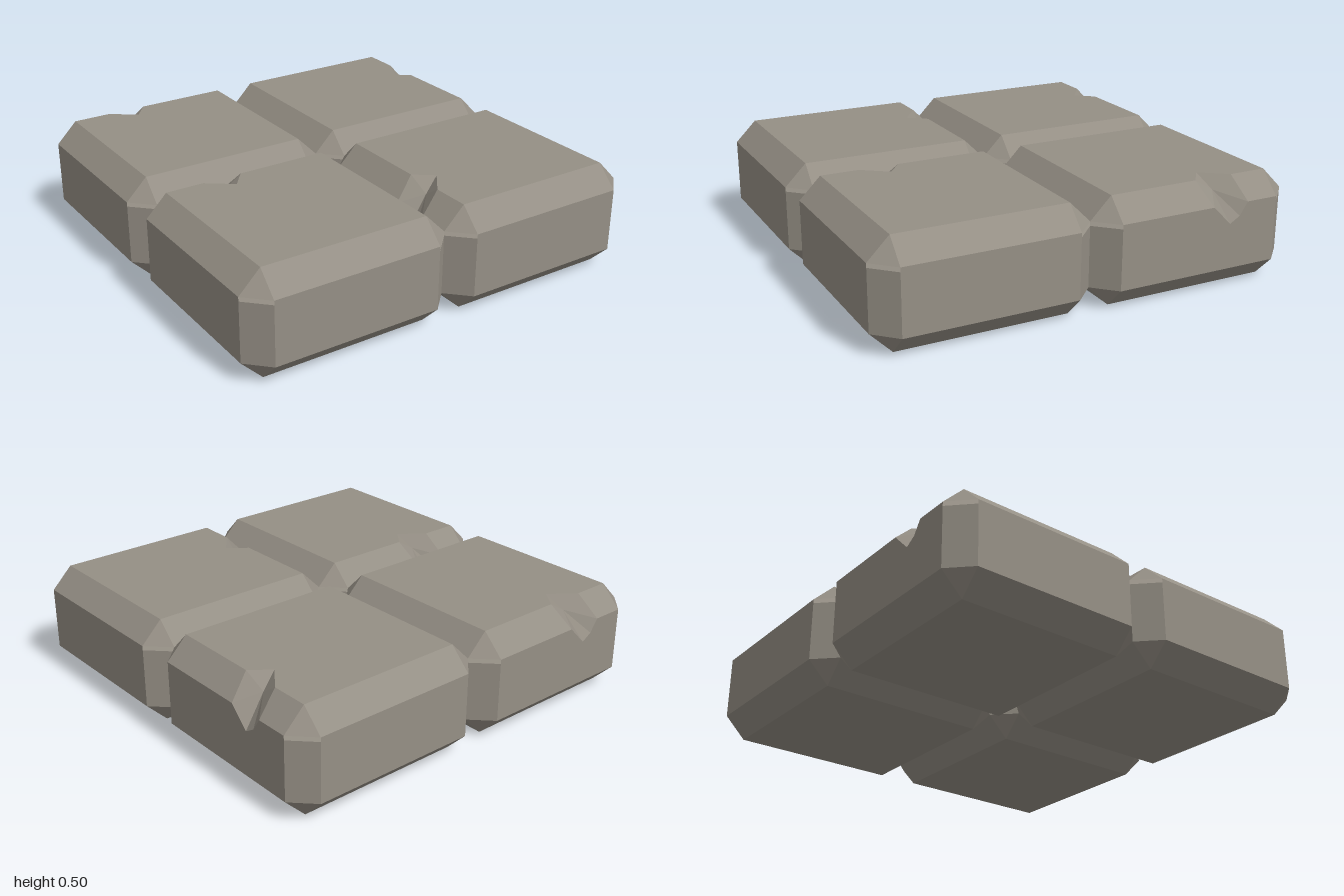
import * as THREE from 'three';

const stone = new THREE.MeshStandardMaterial({ color: 0x958f85 });
stone.name = 'grey stone';

const V = (x, y, z) => new THREE.Vector3(x, y, z);
const H = 0.5, C = 0.4; // half width of a slab, and half width inside the bevel

// Flat polygon turned to face along a direction; an optional normal softens its shading
function addFace(out, pts, facing, normal) {
  const n = V(0, 0, 0);
  pts.forEach((p, i) => n.add(p.clone().cross(pts[(i + 1) % pts.length])));
  const a = [Math.abs(n.x), Math.abs(n.y), Math.abs(n.z)];
  const k = a.indexOf(Math.max(...a));
  const [u, v] = [['y', 'z'], ['x', 'z'], ['x', 'y']][k];
  const flat = pts.map((p) => new THREE.Vector2(p[u], p[v]));
  for (const tri of THREE.ShapeUtils.triangulateShape(flat, [])) {
    let [p, q, r] = tri.map((i) => pts[i]);
    const m = q.clone().sub(p).cross(r.clone().sub(p)).normalize();
    if (m.dot(facing) < 0) { [q, r] = [r, q]; m.negate(); }
    const s = normal || m;
    for (const w of [p, q, r]) { out.pos.push(w.x, w.y, w.z); out.nor.push(s.x, s.y, s.z); }
  }
}

// Bevelled slab with a chip broken from its back top edge
function slabGeometry() {
  const out = { pos: [], nor: [] };
  const add = (pts, facing, normal) => addFace(out, pts, facing, normal);
  const up = V(0, 1, 0), down = V(0, -1, 0), back = V(0, 0, -1);

  // Chip outline and its deepest point
  const tip = V(-0.1, 0.5, -0.31), t1 = V(-0.22, 0.5, -C), t2 = V(-0.03, 0.5, -C);
  const s1 = V(-0.245, 0.4, -H), s2 = V(-0.065, 0.4, -H);
  const l1 = V(-0.205, 0.34, -H), low = V(-0.155, 0.31, -H);
  const deep = V(-0.13, 0.44, -0.39);

  // Top and bottom
  add([V(-C, 0.5, -C), t1, tip, t2, V(C, 0.5, -C), V(C, 0.5, C), V(-C, 0.5, C)], up);
  add([V(-C, 0, -C), V(C, 0, -C), V(C, 0, C), V(-C, 0, C)], down);

  // Chipped back side and top back bevel
  add([V(-C, 0.1, -H), V(-C, 0.4, -H), s1, l1, low, s2, V(C, 0.4, -H), V(C, 0.1, -H)], back);
  const slope = V(0, 1, -1);
  add([V(-C, 0.5, -C), t1, s1, V(-C, 0.4, -H)], slope);
  add([t2, V(C, 0.5, -C), V(C, 0.4, -H), s2], slope);

  // Broken facets inside the chip
  for (const [a, b] of [[tip, t1], [t1, s1], [s1, l1], [l1, low], [low, s2], [s2, t2], [t2, tip]]) {
    const middle = a.clone().add(b).add(deep).divideScalar(3);
    add([a, b, deep], V(-0.13, 0.6, -0.6).sub(middle));
  }

  // Plain sides, bevels and corners, turned around the slab
  for (let i = 0; i < 4; i++) {
    const turn = (x, y, z) => V(x, y, z).applyAxisAngle(up, (i * Math.PI) / 2);
    if (i !== 2) {
      add([turn(-C, 0.1, H), turn(C, 0.1, H), turn(C, 0.4, H), turn(-C, 0.4, H)], turn(0, 0, 1));
      add([turn(-C, 0.4, H), turn(C, 0.4, H), turn(C, 0.5, C), turn(-C, 0.5, C)], turn(0, 1, 1));
    }
    add([turn(-C, 0.1, H), turn(C, 0.1, H), turn(C, 0, C), turn(-C, 0, C)], turn(0, -1, 1));
    const corner = (y0, y1, n) =>
      add([turn(C, y0, H), turn(H, y0, C), turn(H, y1, C), turn(C, y1, H)], turn(1, 0, 1), n);
    corner(0.1, 0.38);
    corner(0.38, 0.4, turn(1, 1.3, 1).normalize()); // worn rim of the corner
    add([turn(C, 0.4, H), turn(H, 0.4, C), turn(C, 0.5, C)], turn(1, 1, 1));
    add([turn(C, 0.1, H), turn(H, 0.1, C), turn(C, 0, C)], turn(1, -1, 1));
  }

  const g = new THREE.BufferGeometry();
  g.setAttribute('position', new THREE.Float32BufferAttribute(out.pos, 3));
  g.setAttribute('normal', new THREE.Float32BufferAttribute(out.nor, 3));
  return g;
}

export function createModel() {
  const model = new THREE.Group();
  model.name = 'stonePaving';
  const geometry = slabGeometry();
  // The same slab four times, turned so that the chips vary
  const layout = [
    ['backRightSlab', -0.5, -0.5, 0],
    ['frontRightSlab', -0.5, 0.5, 0],
    ['backLeftSlab', 0.5, -0.5, -Math.PI / 2],
    ['frontLeftSlab', 0.5, 0.5, Math.PI / 2],
  ];
  for (const [name, x, z, angle] of layout) {
    const slab = new THREE.Mesh(geometry, stone);
    slab.name = name;
    slab.position.set(x, 0, z);
    slab.rotation.y = angle;
    model.add(slab);
  }
  return model;
}
